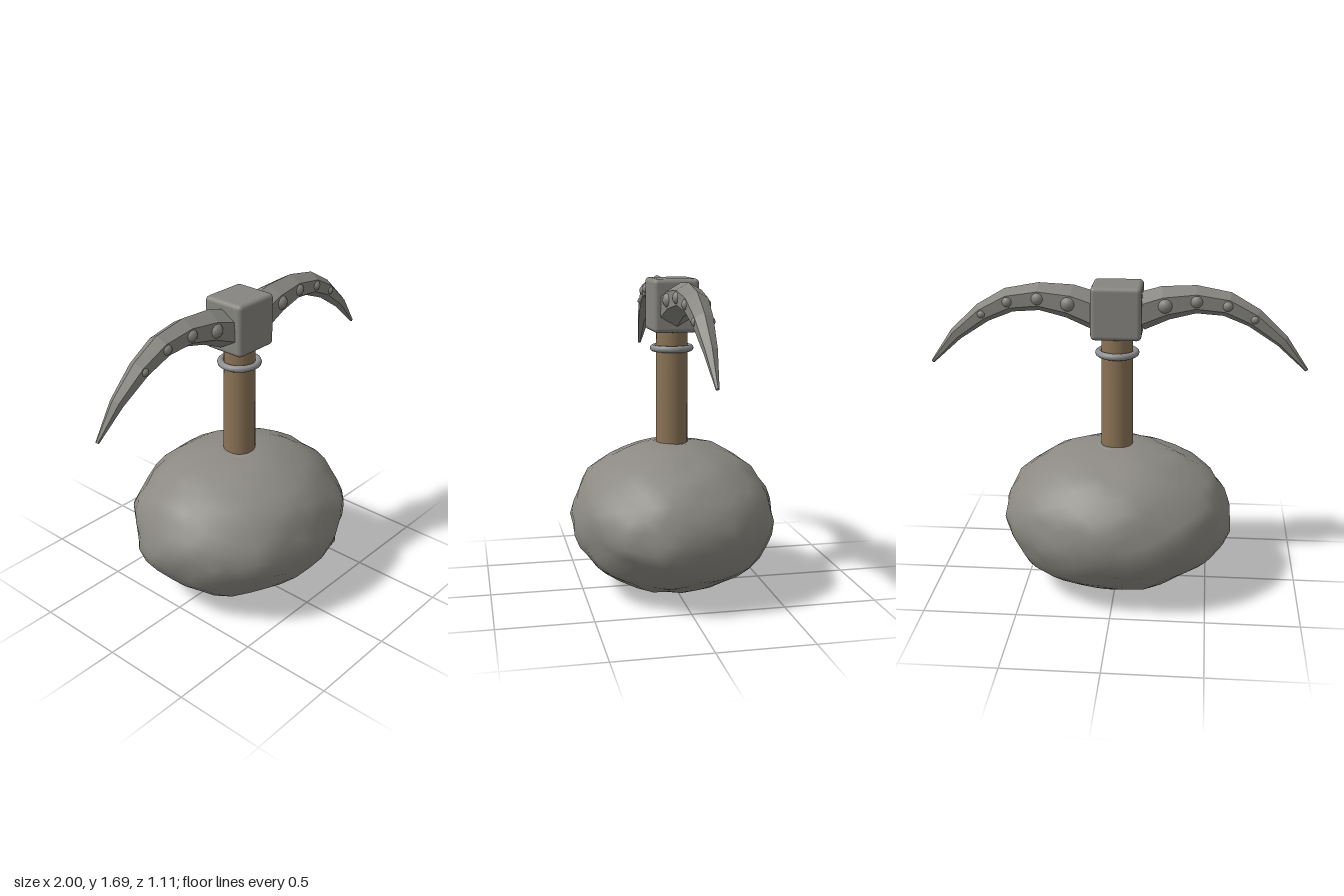
import * as THREE from 'three';
import { mergeVertices } from 'three/addons/utils/BufferGeometryUtils.js';
import { RoundedBoxGeometry } from 'three/addons/geometries/RoundedBoxGeometry.js';

const stone = new THREE.MeshStandardMaterial({ name: 'stone', color: 0x8b8982 });
const iron = new THREE.MeshStandardMaterial({ name: 'iron', color: 0x868580 });
const steel = new THREE.MeshStandardMaterial({ name: 'steel', color: 0x8e8f90 });
const wood = new THREE.MeshStandardMaterial({ name: 'wood', color: 0x8b7355 });

// Arm centre line: x, y, radius
const ARM = [
  [0.11, 1.55, 0.1], [0.25, 1.6, 0.09], [0.41, 1.622, 0.074], [0.57, 1.6, 0.065],
  [0.71, 1.53, 0.053], [0.86, 1.41, 0.035], [0.994, 1.255, 0.009],
];

function part(parent, name, geometry, material, x = 0, y = 0, z = 0) {
  const mesh = new THREE.Mesh(geometry, material);
  mesh.name = name;
  mesh.position.set(x, y, z);
  parent.add(mesh);
  return mesh;
}

// Squashed ball with lumpy facets
function boulderGeometry() {
  let g = new THREE.IcosahedronGeometry(1, 6);
  g.deleteAttribute('normal');
  g.deleteAttribute('uv');
  g = mergeVertices(g, 1e-3);
  const p = g.attributes.position;
  const v = new THREE.Vector3();
  let seed = 17;
  const random = () => (seed = (seed * 16807) % 2147483647) / 2147483647;
  for (let i = 0; i < p.count; i++) {
    v.fromBufferAttribute(p, i).normalize();
    const lumps = Math.sin(5 * v.x + 3 * v.y + 1) * Math.sin(4 * v.z - 5 * v.y + 2)
      + 0.7 * Math.sin(9 * v.x - 4 * v.z) * Math.cos(8 * v.y + 5 * v.z);
    v.multiplyScalar(0.99 + 0.017 * lumps + 0.035 * (random() - 0.5));
    p.setXYZ(i, v.x * 0.63, 0.418 + v.y * 0.413, v.z * 0.557);
  }
  g.computeVertexNormals();
  return g;
}

// Tapering curved spike with a six-sided section and flat faces
function spikeGeometry() {
  const rings = ARM.map(([x, y, r], i) => {
    const a = ARM[Math.max(i - 1, 0)], b = ARM[Math.min(i + 1, ARM.length - 1)];
    const t = new THREE.Vector2(b[0] - a[0], b[1] - a[1]).normalize();
    return Array.from({ length: 6 }, (_, k) => {
      const up = Math.cos(k * Math.PI / 3) * r;
      return [x - t.y * up, y + t.x * up, Math.sin(k * Math.PI / 3) * r];
    });
  });
  const out = [];
  const tri = (...corners) => corners.forEach((c) => out.push(...c));
  const last = ARM.length - 1;
  const start = [ARM[0][0], ARM[0][1], 0], end = [ARM[last][0], ARM[last][1], 0];
  for (let k = 0; k < 6; k++) {
    const n = (k + 1) % 6;
    for (let i = 0; i < last; i++) {
      tri(rings[i][k], rings[i][n], rings[i + 1][n]);
      tri(rings[i][k], rings[i + 1][n], rings[i + 1][k]);
    }
    tri(start, rings[0][n], rings[0][k]);
    tri(end, rings[last][k], rings[last][n]);
  }
  const g = new THREE.BufferGeometry();
  g.setAttribute('position', new THREE.Float32BufferAttribute(out, 3));
  g.computeVertexNormals();
  return g;
}

function collar(parent, name, y, radius, tube) {
  const g = new THREE.TorusGeometry(radius, tube, 10, 32);
  g.rotateX(Math.PI / 2);
  return part(parent, name, g, steel, 0, y, 0);
}

export function createModel() {
  const model = new THREE.Group();
  model.name = 'pickaxeInBoulder';

  part(model, 'boulder', boulderGeometry(), stone);

  // Handle with its two collars
  part(model, 'handle', new THREE.CylinderGeometry(0.083, 0.087, 0.8, 24), wood, 0, 1.08, 0);
  collar(model, 'upperCollar', 1.33, 0.099, 0.018);
  collar(model, 'lowerCollar', 0.8, 0.099, 0.018);

  // Head block
  part(model, 'headBlock', new RoundedBoxGeometry(0.264, 0.28, 0.244, 3, 0.024), iron, 0, 1.56, 0);

  // Two curved arms with studs along both faces
  const spike = spikeGeometry();
  for (const side of ['left', 'right']) {
    const arm = new THREE.Group();
    arm.name = side + 'Arm';
    part(arm, 'spike', spike, iron);
    for (let i = 1; i <= 4; i++) {
      const [x, y, r] = ARM[i];
      const size = 0.047 - 0.006 * i;
      for (const z of [-1, 1]) {
        part(arm, 'stud', new THREE.SphereGeometry(size, 14, 10), iron, x, y, z * (r * 0.87 - size * 0.45));
      }
    }
    if (side === 'right') arm.rotation.y = Math.PI;
    model.add(arm);
  }
  return model;
}
